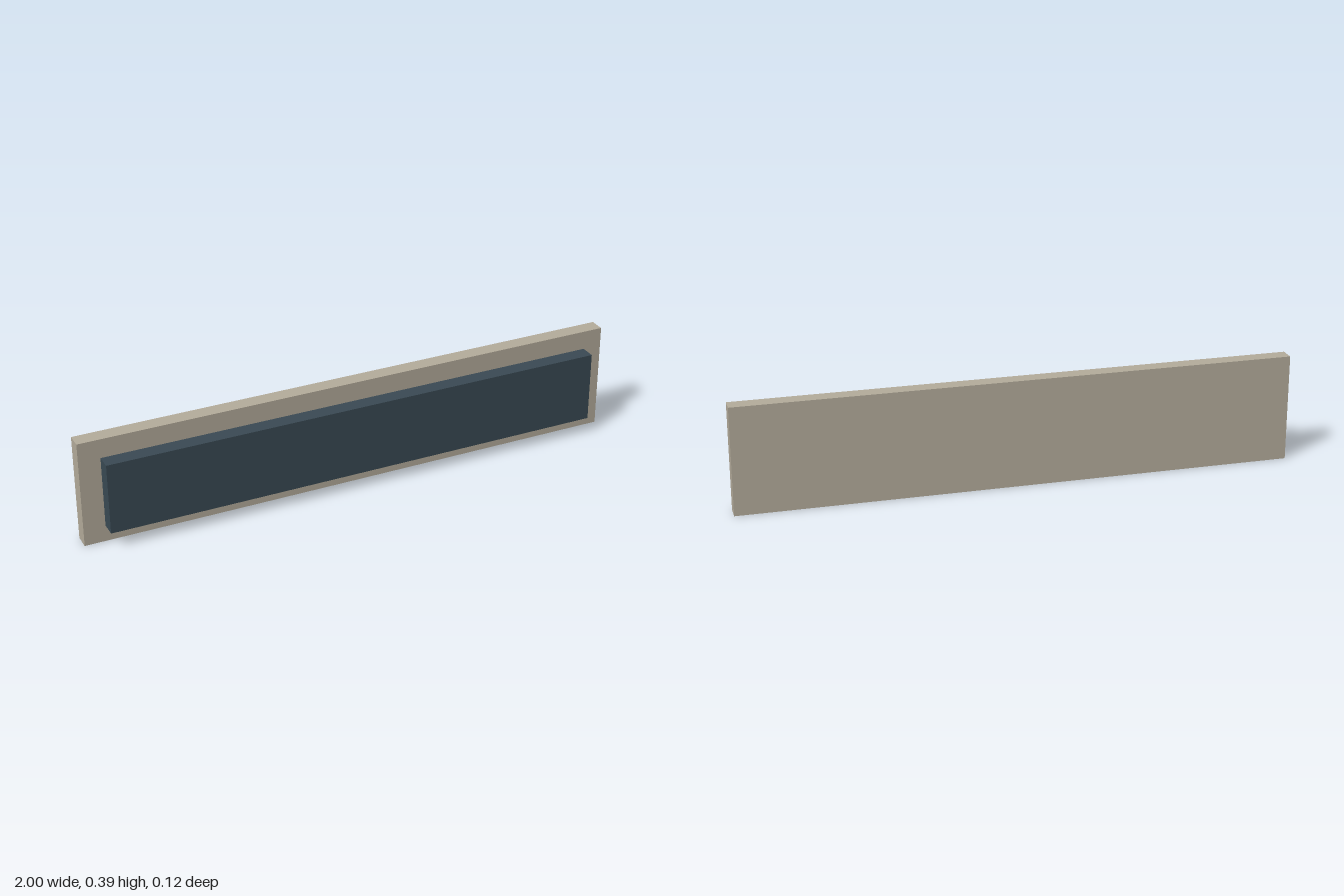
import * as THREE from 'three';

export function createModel() {
  const group = new THREE.Group();
  const stone = new THREE.MeshStandardMaterial({ color: 0xb5ad9c });
  stone.name = 'warm stone';
  const slate = new THREE.MeshStandardMaterial({ color: 0x3a4a54 });
  slate.name = 'dark slate';

  const addSlab = (name, material, width, height, depth, z) => {
    const mesh = new THREE.Mesh(new THREE.BoxGeometry(width, height, depth), material);
    mesh.name = name;
    mesh.position.set(0, 0.195, z);
    group.add(mesh);
  };

  // Large board at the back
  addSlab('backBoard', stone, 2, 0.39, 0.056, -0.032);
  // Smaller panel floating just in front of it
  addSlab('frontPanel', slate, 1.85, 0.26, 0.056, 0.032);

  return group;
}
